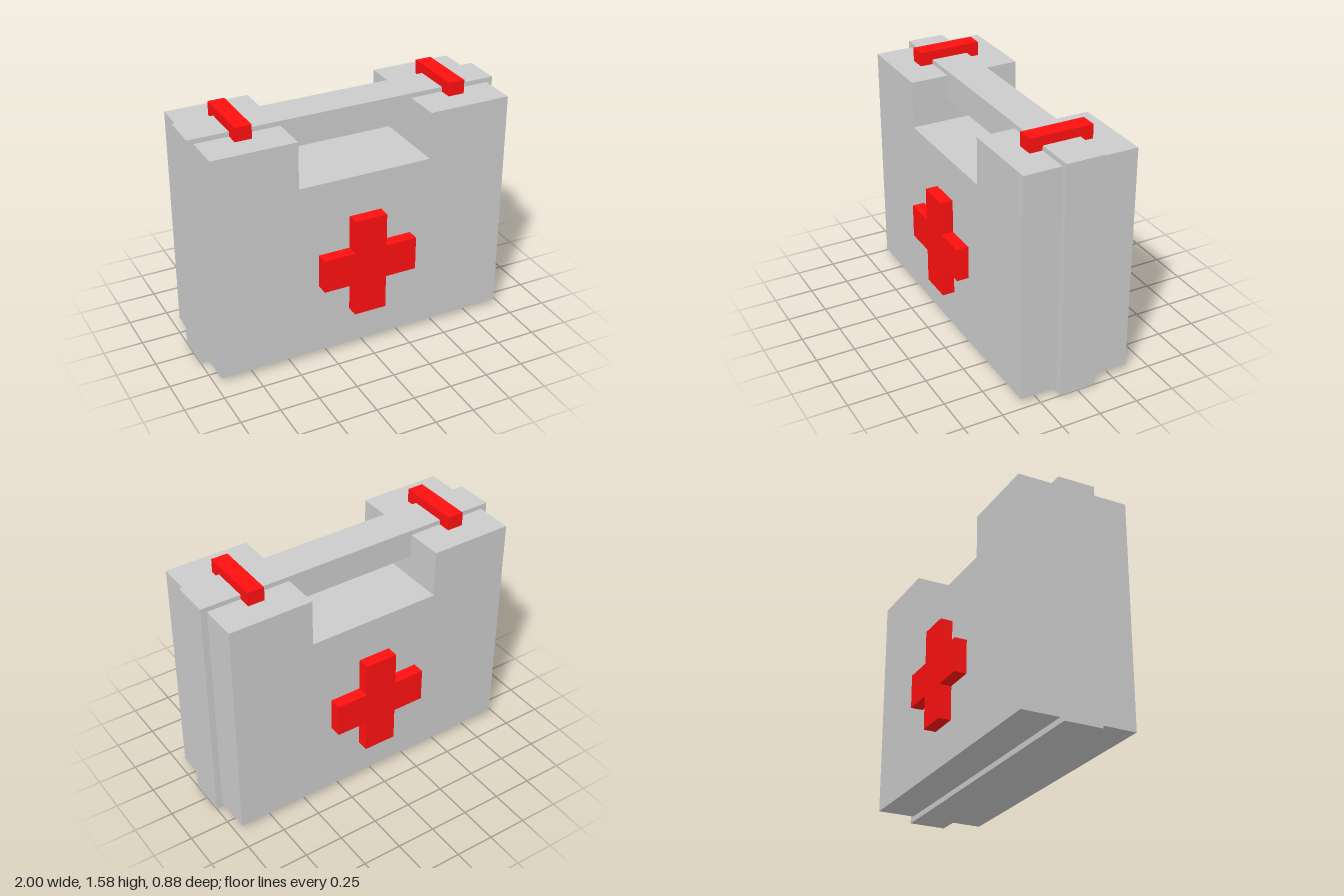
import * as THREE from 'three';

const grey = new THREE.MeshStandardMaterial({ color: 0xcccccc, flatShading: true });
const red = new THREE.MeshStandardMaterial({ color: 0xff1010, flatShading: true });

// Straight-sided outline extruded from z0 to z1, with optional hole outlines
function slab(name, outline, z0, z1, material, holes = []) {
  const toPoints = (list) => list.map(([x, y]) => new THREE.Vector2(x, y));
  const shape = new THREE.Shape(toPoints(outline));
  for (const hole of holes) shape.holes.push(new THREE.Path(toPoints(hole)));
  const geometry = new THREE.ExtrudeGeometry(shape, { depth: z1 - z0, bevelEnabled: false });
  geometry.translate(0, 0, z0);
  const mesh = new THREE.Mesh(geometry, material);
  mesh.name = name;
  return mesh;
}

const rect = (x, y0, y1) => [[-x, y0], [x, y0], [x, y1], [-x, y1]];

export function createModel() {
  const model = new THREE.Group();
  model.name = 'firstAidCase';

  const gripX = 0.43, gripY = 1.19;

  // Central band, with the carrying handle above its slot
  model.add(slab('centreBandAndHandle', rect(1, 0, 1.52), -0.12, 0.12, grey, [rect(gripX, gripY, 1.335)]));

  // Case halves, notched at the top around the handle
  const half = [
    [-0.96, 0.035], [0.96, 0.035], [0.96, 1.49], [gripX, 1.49],
    [gripX, gripY], [-gripX, gripY], [-gripX, 1.49], [-0.96, 1.49],
  ];
  model.add(slab('frontHalf', half, 0.12, 0.36, grey));
  model.add(slab('backHalf', half, -0.36, -0.12, grey));

  // Raised cross on each face
  const a = 0.105, b = 0.308, y0 = 0.283, y1 = 0.5, y2 = 0.717, y3 = 0.932;
  const cross = [
    [-a, y0], [a, y0], [a, y1], [b, y1], [b, y2], [a, y2],
    [a, y3], [-a, y3], [-a, y2], [-b, y2], [-b, y1], [-a, y1],
  ];
  model.add(slab('frontCross', cross, 0.36, 0.438, red));
  model.add(slab('backCross', cross, -0.438, -0.36, red));

  // Latches bridging the two halves
  for (const [name, side] of [['leftLatch', 1], ['rightLatch', -1]]) {
    const latch = new THREE.Mesh(new THREE.BoxGeometry(0.105, 0.088, 0.404), red);
    latch.name = name;
    latch.position.set(side * 0.694, 1.534, 0);
    model.add(latch);
  }

  return model;
}
